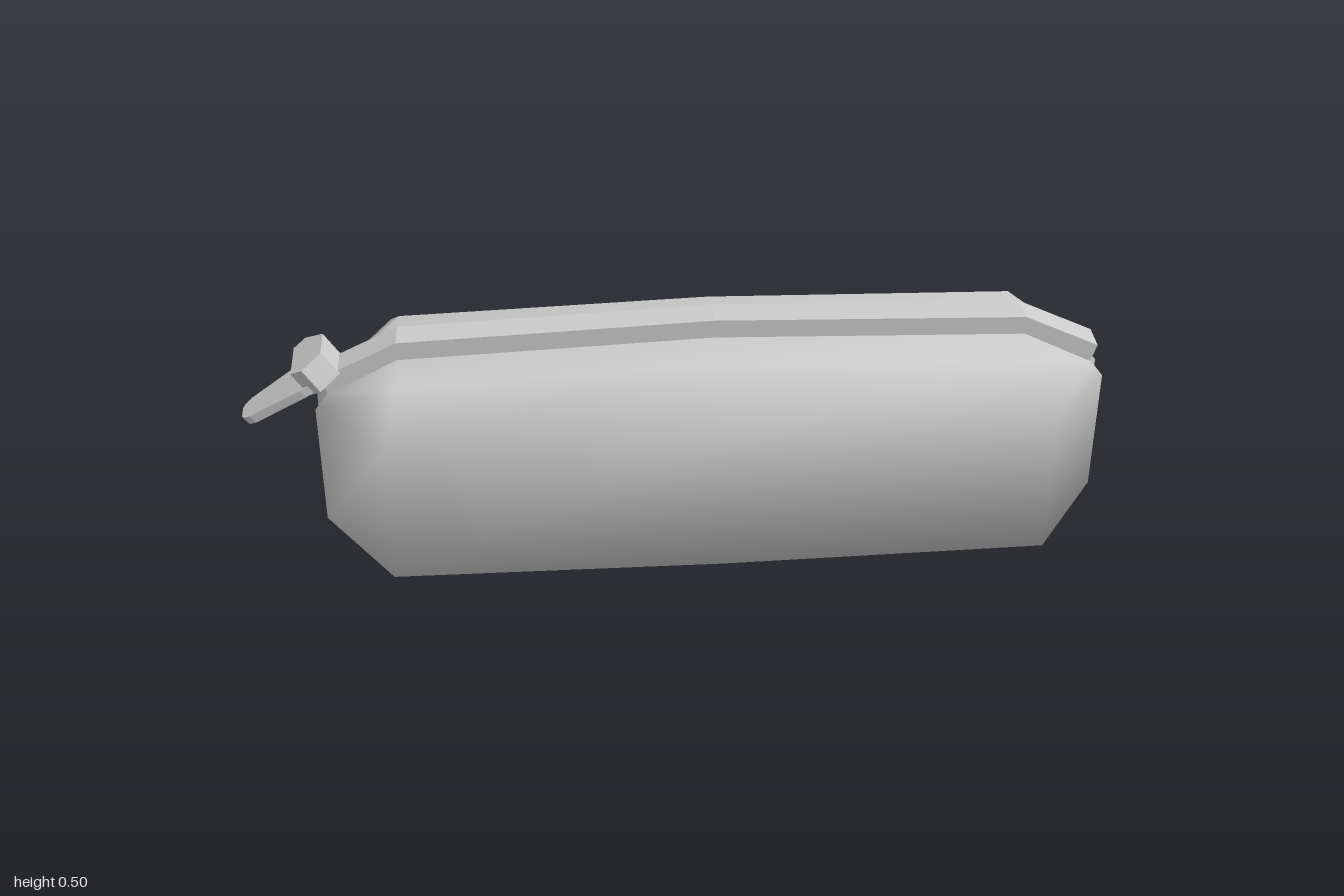
import * as THREE from 'three';

const grey = new THREE.MeshStandardMaterial({ color: 0xcccccc });
grey.name = 'grey fabric';

const MID = 0.085; // centre of the pouch along x

function add(parent, geometry, name) {
  const mesh = new THREE.Mesh(geometry, grey);
  mesh.name = name;
  parent.add(mesh);
  return mesh;
}

// Smooth closed pouch lofted through five cross-sections along x
function pouchGeometry() {
  // each corner: [distance from the middle, y, half width]
  const end = [[0.915, 0, 0.035], [0.915, 0.31, 0.035], [0.885, 0.35, 0.035]];
  const shoulder = [[0.75, 0, 0.272], [0.75, 0.355, 0.272], [0.72, 0.435, 0.155]];
  const middle = [[0, 0, 0.282], [0, 0.35, 0.28], [0, 0.46, 0.145]];
  const sections = [[end, -1], [shoulder, -1], [middle, 1], [shoulder, 1], [end, 1]];
  const pos = [], idx = [];
  for (const [corners, side] of sections) {
    for (const [d, y, z] of corners) pos.push(MID + side * d, y, z);
    for (const [d, y, z] of [...corners].reverse()) pos.push(MID + side * d, y, -z);
  }
  for (let s = 0; s < sections.length - 1; s++) {
    for (let i = 0; i < 6; i++) {
      const a = s * 6 + i, b = s * 6 + (i + 1) % 6;
      idx.push(a, a + 6, b + 6, a, b + 6, b);
    }
  }
  // end caps
  const last = (sections.length - 1) * 6;
  for (let i = 1; i < 5; i++) {
    idx.push(0, i, i + 1);
    idx.push(last, last + i + 1, last + i);
  }
  const g = new THREE.BufferGeometry();
  g.setAttribute('position', new THREE.Float32BufferAttribute(pos, 3));
  g.setIndex(idx);
  g.computeVertexNormals();
  return g;
}

function extrude(points, depth) {
  const shape = new THREE.Shape(points.map(([x, y]) => new THREE.Vector2(x, y)));
  const g = new THREE.ExtrudeGeometry(shape, { depth, bevelEnabled: false });
  return g.translate(0, 0, -depth / 2);
}

// Flat plate lying in xz, symmetric about z = 0, from [x, half width] pairs
function plate(profile, thickness) {
  const mirrored = [...profile].reverse().map(([x, w]) => [x, -w]);
  return extrude([...profile, ...mirrored], thickness).rotateX(Math.PI / 2);
}

export function createModel() {
  const model = new THREE.Group();
  model.name = 'pencilCase';

  add(model, pouchGeometry(), 'pouch');

  // Zip band following the top from end to end
  const outer = [[-0.895, 0.395], [-0.72, 0.48], [0, 0.505], [0.72, 0.48], [0.895, 0.395]];
  const inner = [[0.88, 0.345], [0.715, 0.43], [0, 0.455], [-0.715, 0.43], [-0.88, 0.345]];
  const band = [...outer, ...inner].map(([x, y]) => [x + MID, y]);
  add(model, extrude(band, 0.07), 'zipBand');

  // Slider with its pull tab, tilted along the sloping end
  const zipPull = new THREE.Group();
  zipPull.name = 'zipPull';
  zipPull.position.set(-0.82, 0.415, 0);
  zipPull.rotation.z = 0.57;
  model.add(zipPull);

  add(zipPull, plate([[-0.042, 0.055], [-0.01, 0.07], [0.042, 0.04]], 0.07), 'slider');
  const tab = add(zipPull, plate(
    [[-0.22, 0.018], [-0.212, 0.03], [-0.195, 0.039], [-0.05, 0.062], [-0.02, 0.062]], 0.022), 'pullTab');
  tab.position.y = -0.02;

  return model;
}
